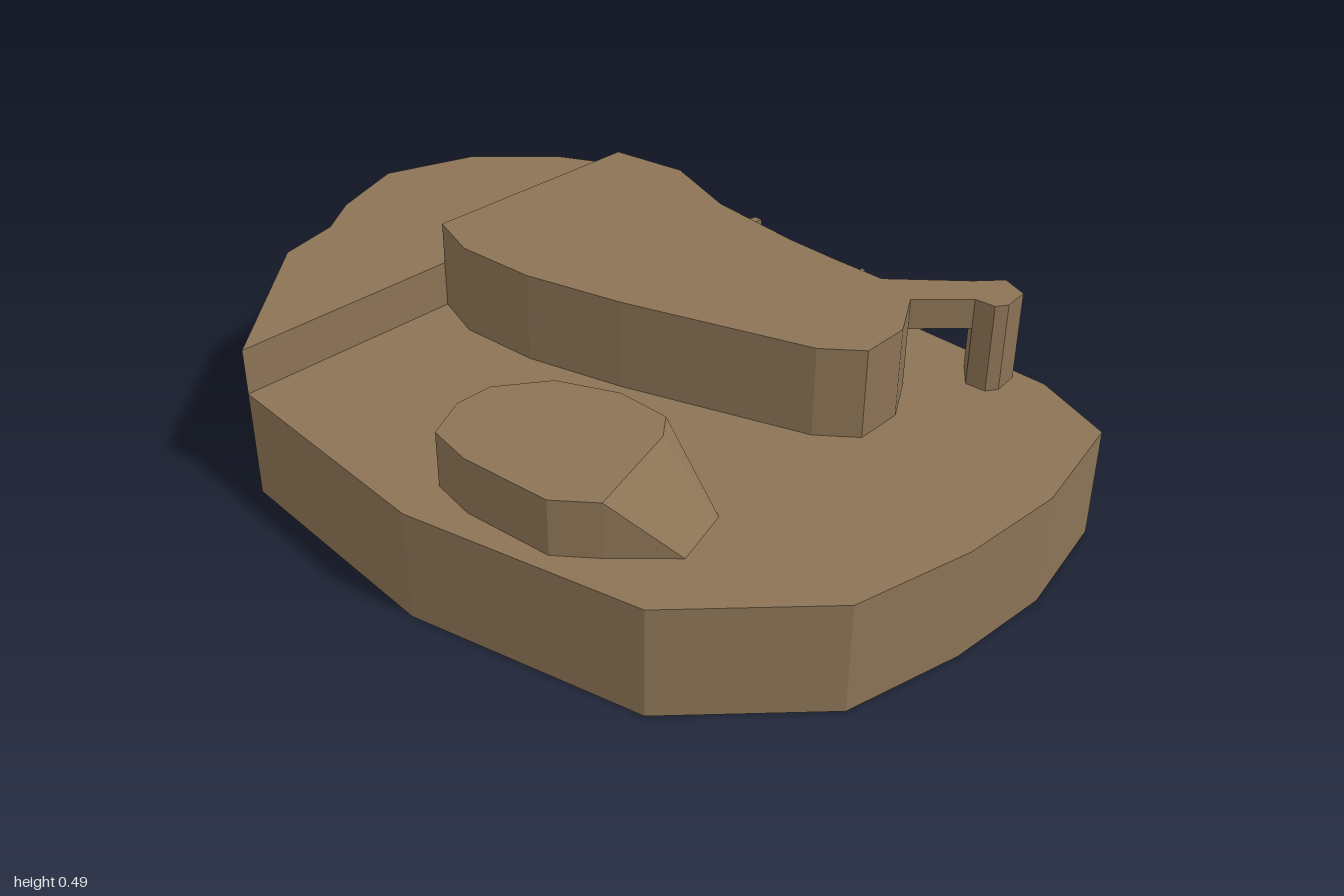
import * as THREE from 'three';

const GROUND = 0.27, STEP = 0.385, TOP = 0.49, KNOLL = 0.405, CREST = 0.33;

export function createModel() {
  const group = new THREE.Group();
  const earth = new THREE.MeshStandardMaterial({ color: 0x8b7355, side: THREE.DoubleSide });
  earth.name = 'earth brown';

  const add = (name, geometry) => {
    const mesh = new THREE.Mesh(geometry, earth);
    mesh.name = name;
    group.add(mesh);
  };
  // Flat facets from convex polygons of [x, y, z] corners
  const facets = (name, polygons) => {
    const pos = [];
    for (const p of polygons) {
      for (let i = 1; i < p.length - 1; i++) pos.push(...p[0], ...p[i], ...p[i + 1]);
    }
    const g = new THREE.BufferGeometry();
    g.setAttribute('position', new THREE.Float32BufferAttribute(pos, 3));
    g.computeVertexNormals();
    add(name, g);
  };
  // Horizontal surface over an [x, z] outline
  const cap = (name, pts, y, hole) => {
    const shape = new THREE.Shape(pts.map(([x, z]) => new THREE.Vector2(x, -z)));
    if (hole) shape.holes.push(new THREE.Path(hole.map(([x, z]) => new THREE.Vector2(x, -z))));
    const g = new THREE.ShapeGeometry(shape).rotateX(-Math.PI / 2).translate(0, y, 0);
    add(name, g);
  };
  // Strip of wall between a lower and an upper path
  const wall = (name, pts, y0, y1, upper = pts) => {
    const quads = [];
    for (let i = 0; i < pts.length - 1; i++) {
      const [a, b, c, d] = [pts[i], pts[i + 1], upper[i + 1], upper[i]];
      quads.push([[a[0], y0, a[1]], [b[0], y0, b[1]], [c[0], y1, c[1]], [d[0], y1, d[1]]]);
    }
    facets(name, quads);
  };
  const closed = (pts) => [...pts, pts[0]];

  // Outlines, counter-clockwise from above
  const rightRim = [[-0.59, 0.69], [0, 0.785], [0.57, 0.71], [0.87, 0.45], [0.96, 0.17], [1, -0.09],
    [0.97, -0.375], [0.78, -0.47], [0.4, -0.505], [0.22, -0.575], [0.16, -0.605], [0.08, -0.66],
    [0, -0.67], [-0.22, -0.692], [-0.265, -0.688], [-0.3, -0.665], [-0.44, -0.63]];
  const leftRim = [[-0.44, -0.63], [-0.71, -0.51], [-0.9, -0.355], [-1, -0.14], [-0.95, 0.06],
    [-0.89, 0.17], [-0.87, 0.33], [-0.59, 0.69]];
  const ridge = [[-0.525, 0.12], [-0.4, 0.175], [-0.2, 0.18], [0.04, 0.14], [0.485, 0.03],
    [0.575, -0.03], [0.585, -0.15], [0.53, -0.27], [0.43, -0.31], [0.295, -0.32], [0.16, -0.335],
    [-0.075, -0.38], [-0.265, -0.465], [-0.455, -0.45]];

  // Base: open underneath
  wall('baseWall', [...rightRim, ...leftRim.slice(1)], 0, GROUND);
  const knoll = [[-0.05, 0.565], [-0.01, 0.67], [0.1, 0.7], [0.32, 0.7], [0.41, 0.64], [0.39, 0.54],
    [0.36, 0.39], [0.32, 0.33], [0.19, 0.32], [0.05, 0.37], [-0.04, 0.475]];
  const rampFoot = [[0.535, 0.54], [0.505, 0.39]];
  cap('ground', [...rightRim, ...[...ridge].reverse()], GROUND,
    [...knoll.slice(0, 5), ...rampFoot, ...knoll.slice(7)]);

  // Raised shelf on one side, with a slightly leaning outer wall
  const leftTop = leftRim.map(([x, z], i) => {
    if (i === 0) return [-0.443, -0.607];
    return i === leftRim.length - 1 ? [x, z] : [x * 0.987, z * 0.98];
  });
  wall('shelfOuterWall', leftRim, GROUND, STEP, leftTop);
  cap('shelfTop', [...leftTop, ridge[0], ridge[ridge.length - 1]], STEP);
  wall('shelfFrontStep', [ridge[0], leftRim[7]], GROUND, STEP);
  wall('shelfBackStep', [leftRim[0], ridge[13]], GROUND, STEP, [leftTop[0], ridge[13]]);

  // Long central ridge
  wall('ridgeWall', ridge, GROUND, TOP);
  wall('ridgeEndWall', [ridge[13], ridge[0]], STEP, TOP);
  cap('ridgeTop', ridge, TOP);

  // Arch: bridge from the ridge to a free-standing pier
  const pier = [[0.64, -0.36], [0.69, -0.36], [0.71, -0.385], [0.71, -0.45], [0.65, -0.48], [0.595, -0.43]];
  const bridge = [[0.43, -0.31], [0.53, -0.27], ...pier];
  cap('bridgeTop', bridge, TOP);
  wall('bridgeSides', closed(bridge).slice(1), 0.415, TOP);
  const under = [bridge[0], bridge[1], pier[0], pier[5]].reverse();
  facets('bridgeUnderside', [under.map(([x, z]) => [x, 0.415, z])]);
  wall('pier', closed(pier), GROUND, 0.415);

  // Front knoll with a faceted ramp
  cap('knollTop', knoll, KNOLL);
  wall('knollWall', [...knoll.slice(7), ...knoll.slice(0, 5)], GROUND, KNOLL);
  const at = ([x, z], y) => [x, y, z];
  const [f, b] = rampFoot.map((p) => at(p, GROUND));
  facets('knollRamp', [
    [at(knoll[5], KNOLL), f, b, at(knoll[6], KNOLL)],
    [at(knoll[4], KNOLL), f, at(knoll[5], KNOLL)],
    [at(knoll[4], GROUND), f, at(knoll[4], KNOLL)],
    [at(knoll[6], KNOLL), b, at(knoll[7], KNOLL)],
    [at(knoll[7], KNOLL), b, at(knoll[7], GROUND)],
  ]);

  // Two small wedges behind the ridge: crest pair (back, front) and foot pair
  const wedge = (name, crest, foot) => {
    const [cb, cf] = crest.map((p) => at(p, CREST));
    const [gb, gf] = crest.map((p) => at(p, GROUND));
    const [fb, ff] = foot.map((p) => at(p, GROUND));
    const sides = [[cb, cf, ff, fb], [gb, gf, cf, cb], [gb, cb, fb], [gf, ff, cf]];
    // Mirror the winding when the foot lies on the far side
    if (foot[0][0] < crest[0][0]) sides.forEach((s) => s.reverse());
    facets(name, sides);
  };
  wedge('backRampWide', [[0.22, -0.575], [0.16, -0.335]], [[0.4, -0.505], [0.295, -0.32]]);
  wedge('backRampSmall', [[-0.05, -0.48], [-0.075, -0.38]], [[-0.19, -0.53], [-0.2, -0.433]]);

  // Thin spur at the back, sloping down to its tip
  const spur = [[-0.215, -0.265, -0.688, GROUND], [-0.23, -0.262, -0.71, 0.263],
    [-0.233, -0.26, -0.755, 0.236], [-0.236, -0.257, -0.79, 0.23]];
  const spurFaces = [];
  for (let i = 0; i < spur.length - 1; i++) {
    const [r0, l0, z0, y0] = spur[i], [r1, l1, z1, y1] = spur[i + 1];
    spurFaces.push([[l0, y0, z0], [r0, y0, z0], [r1, y1, z1], [l1, y1, z1]],
      [[r0, 0, z0], [r1, 0, z1], [r1, y1, z1], [r0, y0, z0]],
      [[l1, 0, z1], [l0, 0, z0], [l0, y0, z0], [l1, y1, z1]]);
  }
  const [r, l, z, y] = spur[3];
  spurFaces.push([[r, 0, z], [l, 0, z], [l, y, z], [r, y, z]]);
  facets('backSpur', spurFaces);

  return group;
}
